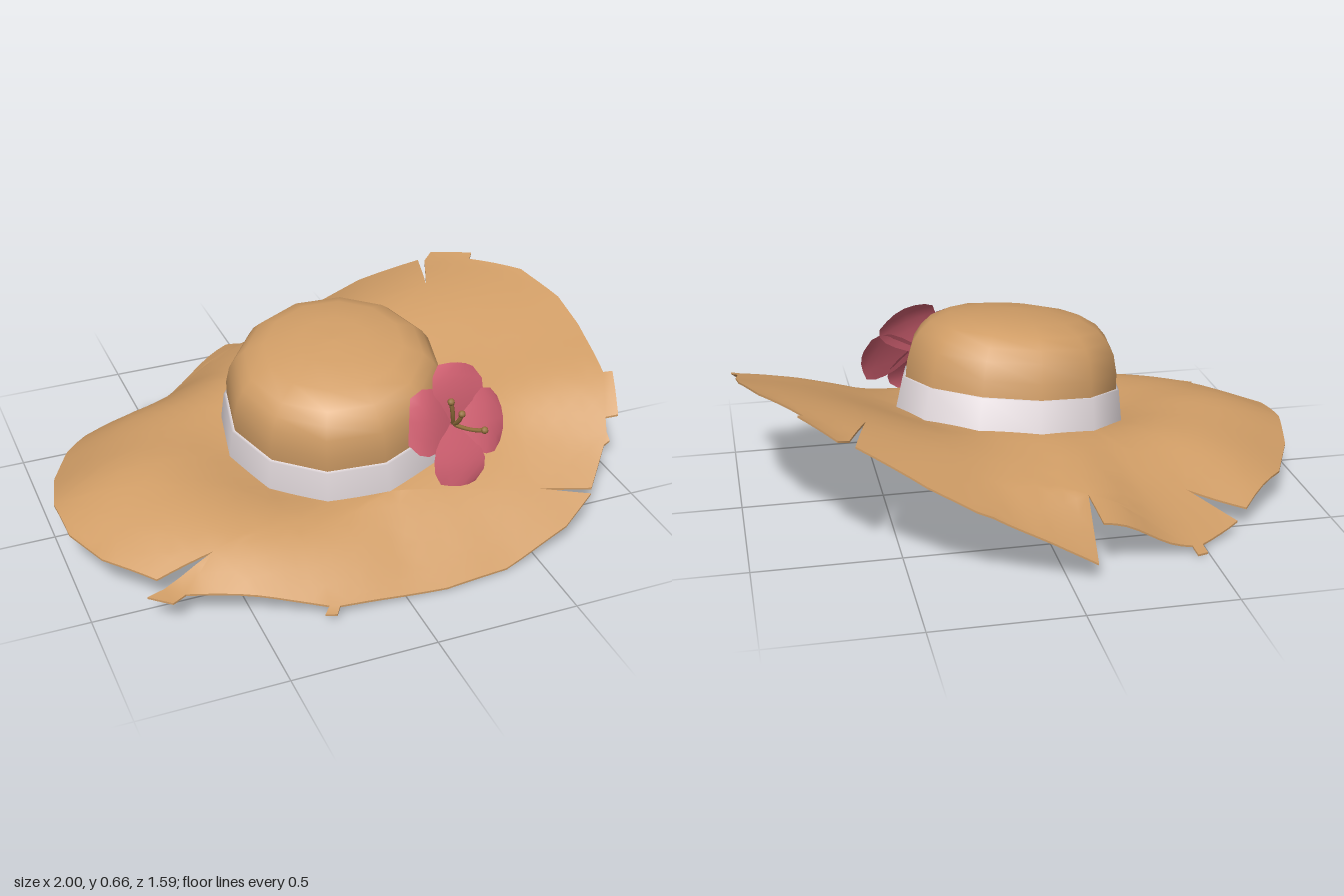
import * as THREE from 'three';
import { toCreasedNormals } from 'three/addons/utils/BufferGeometryUtils.js';

const { clamp, degToRad } = THREE.MathUtils;
const material = (name, color) =>
  Object.assign(new THREE.MeshStandardMaterial({ color, side: THREE.DoubleSide }), { name });

const CENTRE = { x: 0.03, y: 0.312, z: 0.055 }; // centre of the crown opening
const RING = 0.41; // radius of the opening
const TWIST = 0.07; // turn of the twelve-sided crown about its axis

// Torn brim outline, as x, z pairs
const OUTLINE = [
  [0.99, 0.05], [0.985, -0.1], [0.93, -0.3], [0.8, -0.48], [0.82, -0.505], [0.71, -0.64],
  [0.67, -0.61], [0.6, -0.44], [0.655, -0.64], [0.45, -0.755], [0.3, -0.79], [-0.09, -0.8],
  [-0.09, -0.65], [-0.115, -0.755], [-0.445, -0.665], [-0.455, -0.7], [-0.495, -0.68],
  [-0.485, -0.65], [-0.64, -0.55], [-0.47, -0.495], [-0.685, -0.51], [-0.865, -0.335],
  [-0.955, -0.15], [-1, 0.04], [-0.99, 0.215], [-0.92, 0.365], [-0.78, 0.52], [-0.585, 0.515],
  [-0.83, 0.58], [-0.76, 0.635], [-0.71, 0.61], [-0.275, 0.757], [-0.3, 0.785], [-0.26, 0.79],
  [-0.24, 0.763], [0.14, 0.77], [0.37, 0.75], [0.63, 0.68], [0.76, 0.61], [0.57, 0.56],
  [0.77, 0.595], [0.87, 0.49], [0.895, 0.485], [0.895, 0.46], [0.91, 0.42], [0.955, 0.43],
  [1, 0.295], [0.968, 0.285],
];

// Brim edge radius and height at every 15 degrees, from +x towards +z
const EDGE = new THREE.CatmullRomCurve3([
  [0.96, 0.5], [0.98, 0.42], [0.935, 0.235], [0.885, 0.105], [0.786, 0.057], [0.732, 0.047],
  [0.712, 0.052], [0.735, 0.068], [0.778, 0.1], [0.851, 0.14], [0.94, 0.155], [1, 0.176],
  [1.027, 0.197], [1, 0.16], [0.98, 0.12], [0.89, 0.07], [0.845, 0.08], [0.82, 0.2],
  [0.855, 0.24], [0.875, 0.3], [0.92, 0.42], [0.93, 0.52], [0.93, 0.562], [0.965, 0.56],
].map(([r, y]) => new THREE.Vector3(r, y, 0)), true, 'catmullrom');

// Height of the wavy brim at a point
function brimHeight(x, z) {
  const dx = x - CENTRE.x, dz = z - CENTRE.z;
  const angle = Math.atan2(dz, dx);
  const edge = EDGE.getPoint((angle / (2 * Math.PI) + 1) % 1);
  const t = clamp((Math.hypot(dx, dz) - RING) / (edge.x - RING), 0, 1.08);
  const base = CENTRE.y + RING * (0.1 * Math.cos(angle) - 0.15 * Math.sin(angle));
  // Both sides arch between the crown and the edge
  const arch = 0.06 * Math.max(0, -Math.cos(angle)) + 0.033 * Math.max(0, Math.cos(angle + 0.25));
  // The torn corner at the back hangs down
  const droop = x > -0.1 ? 0.11 * clamp((-0.65 - z) / 0.15, 0, 1) * clamp(1 - (x + 0.09) / 0.35, 0, 1) : 0;
  return base + (edge.y - base) * Math.pow(t, 1.2) + arch * Math.sin(Math.PI * Math.min(t, 1)) - droop;
}

// Halve the longest edge of each triangle until all are short
function subdivide(geometry, maxLength) {
  const p = geometry.attributes.position, out = [];
  const split = (a, b, c) => {
    const ab = a.distanceTo(b), bc = b.distanceTo(c), ca = c.distanceTo(a);
    const longest = Math.max(ab, bc, ca);
    if (longest <= maxLength) {
      for (const v of [a, b, c]) out.push(v.x, v.y, v.z);
    } else if (longest === ab) {
      const m = a.clone().add(b).multiplyScalar(0.5);
      split(a, m, c);
      split(m, b, c);
    } else if (longest === bc) split(b, c, a);
    else split(c, a, b);
  };
  const at = (i) => new THREE.Vector3().fromBufferAttribute(p, i);
  for (let i = 0; i < p.count; i += 3) split(at(i), at(i + 1), at(i + 2));
  return new THREE.BufferGeometry().setAttribute('position', new THREE.Float32BufferAttribute(out, 3));
}

function brimGeometry() {
  const thickness = 0.007;
  const shape = new THREE.Shape(OUTLINE.map(([x, z]) => new THREE.Vector2(x, -z)));
  const hole = [];
  for (let i = 0; i < 12; i++) {
    const a = (i / 12) * 2 * Math.PI + TWIST;
    hole.push(new THREE.Vector2(CENTRE.x + 0.408 * Math.cos(a), -CENTRE.z + 0.408 * Math.sin(a)));
  }
  shape.holes.push(new THREE.Path(hole));
  let geometry = new THREE.ExtrudeGeometry(shape, { depth: thickness, bevelEnabled: false });
  geometry.rotateX(-Math.PI / 2);
  geometry = subdivide(geometry, 0.08);
  const p = geometry.attributes.position;
  for (let i = 0; i < p.count; i++) {
    p.setY(i, p.getY(i) - thickness + brimHeight(p.getX(i), p.getZ(i)));
  }
  return toCreasedNormals(geometry, 0.7);
}

const lathe = (profile) =>
  new THREE.LatheGeometry(profile.map(([r, y]) => new THREE.Vector2(r, y)), 12).rotateY(TWIST);

// One broad cupped petal pointing along +y
function petalGeometry() {
  const widths = [0.025, 0.068, 0.1, 0.114, 0.11, 0.078];
  const geometry = new THREE.PlaneGeometry(2, 1, 4, 5);
  const p = geometry.attributes.position;
  for (let i = 0; i < p.count; i++) {
    const u = p.getX(i), v = p.getY(i) + 0.5;
    p.setXYZ(i, u * widths[Math.round(v * 5)], 0.21 * v * (1 - 0.05 * u * u),
      0.065 * v - 0.045 * v * v * v - 0.012 * u * u * v);
  }
  geometry.computeVertexNormals();
  return geometry;
}

export function createModel() {
  const straw = material('straw', 0xd09d66);
  const ribbon = material('ribbon', 0xe4dbde);
  const pink = material('petal pink', 0xcf5f70);
  const brown = material('stamen brown', 0x94703c);

  const model = new THREE.Group();
  model.name = 'sunHat';
  const add = (parent, name, geometry, mat) => {
    const mesh = new THREE.Mesh(geometry, mat);
    mesh.name = name;
    parent.add(mesh);
    return mesh;
  };

  add(model, 'brim', brimGeometry(), straw);

  // Tilted crown with its ribbon band
  const top = new THREE.Group();
  top.name = 'crownGroup';
  top.position.set(CENTRE.x, CENTRE.y, CENTRE.z);
  top.quaternion.setFromUnitVectors(
    new THREE.Vector3(0, 1, 0), new THREE.Vector3(-0.1, 1, 0.15).normalize());
  model.add(top);
  add(top, 'band', lathe([[0.414, -0.006], [0.396, 0.108], [0.384, 0.11]]), ribbon);
  add(top, 'crown', lathe([[0.385, 0.108], [0.383, 0.165], [0.368, 0.23], [0.343, 0.272],
    [0.308, 0.308], [0.24, 0.342], [0.12, 0.362], [0, 0.366]]), straw);

  // Flower on the front left of the band
  const flower = new THREE.Group();
  flower.name = 'flower';
  flower.position.set(0.315, 0.431, 0.407);
  flower.quaternion.setFromUnitVectors(
    new THREE.Vector3(0, 0, 1), new THREE.Vector3(0.35, 0.48, 1).normalize());
  model.add(flower);
  const petal = petalGeometry();
  [162, 74, -10, -102].forEach((degrees, i) => {
    const mesh = add(flower, `petal${i + 1}`, petal, pink);
    mesh.rotation.z = degToRad(degrees - 90);
    mesh.position.z = i * 0.002;
  });

  // Curved stamens with small tips
  const root = new THREE.Vector3(0.315, 0.431, 0.405);
  [[0.38, 0.455, 0.515], [0.29, 0.54, 0.435], [0.32, 0.5, 0.46]].forEach((tip, i) => {
    const end = new THREE.Vector3(...tip);
    const middle = root.clone().lerp(end, 0.5).add(new THREE.Vector3(0, -0.01, 0.015));
    const curve = new THREE.QuadraticBezierCurve3(root, middle, end);
    add(model, `stamen${i + 1}`, new THREE.TubeGeometry(curve, 6, 0.008, 6), brown);
    add(model, `stamenTip${i + 1}`, new THREE.SphereGeometry(0.013, 8, 6), brown).position.copy(end);
  });

  return model;
}
